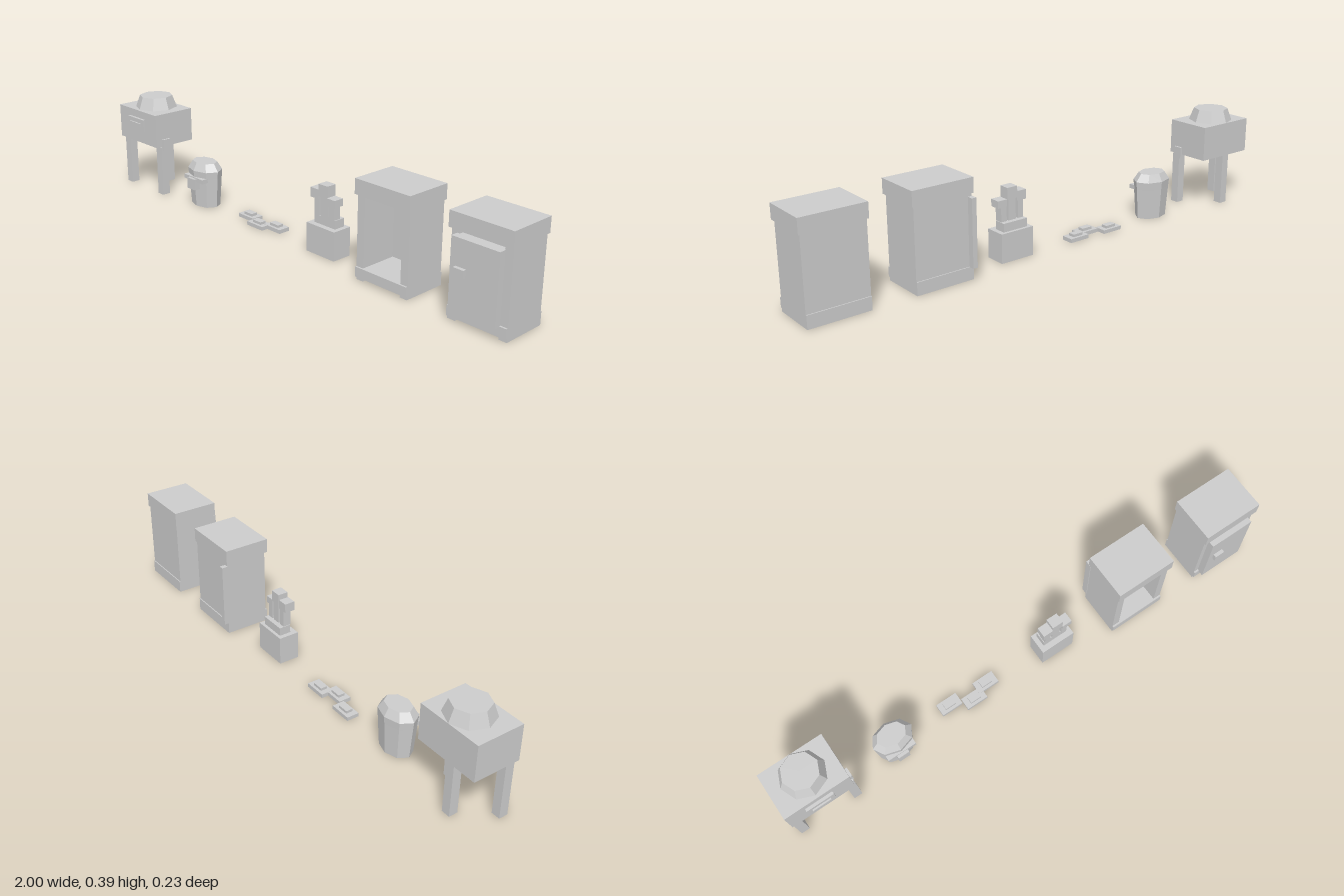
import * as THREE from 'three';

const grey = new THREE.MeshStandardMaterial({ color: 0xcccccc, flatShading: true });
grey.name = 'plain grey';

// Box given by its limits on each axis
function box(parent, name, x0, x1, y0, y1, z0, z1) {
  const m = new THREE.Mesh(new THREE.BoxGeometry(x1 - x0, y1 - y0, z1 - z0), grey);
  m.name = name;
  m.position.set((x0 + x1) / 2, (y0 + y1) / 2, (z0 + z1) / 2);
  parent.add(m);
  return m;
}

function section(root, name) {
  const g = new THREE.Group();
  g.name = name;
  root.add(g);
  return g;
}

// Box on three legs with an octagonal lid
function legBox(root) {
  const g = section(root, 'leggedBox');
  box(g, 'case', -1, -0.75, 0.205, 0.34, -0.097, 0.083);
  [[-1, 0.03], [-0.778, 0.03], [-0.906, -0.09]].forEach(([x, z]) =>
    box(g, 'leg', x, x + 0.033, 0, 0.205, z, z + 0.034));
  const lid = new THREE.Mesh(new THREE.CylinderGeometry(0.067, 0.085, 0.048, 8), grey);
  lid.name = 'lid';
  lid.position.set(-0.873, 0.364, -0.0125);
  g.add(lid);
  box(g, 'frontPlate', -0.928, -0.822, 0.257, 0.309, 0.083, 0.094);
  box(g, 'plateBar', -0.91, -0.838, 0.276, 0.292, 0.094, 0.1);
  box(g, 'sideCatch', -0.75, -0.741, 0.19, 0.235, 0.02, 0.055);
}

// Faceted oval barrel with a front band and latch
function barrel(root) {
  const g = section(root, 'barrel');
  const profile = [[0, 0], [0.068, 0], [0.078, 0.12], [0.081, 0.15], [0.058, 0.18], [0, 0.18]]
    .map(([r, y]) => new THREE.Vector2(r, y));
  const body = new THREE.Mesh(new THREE.LatheGeometry(profile, 8), grey);
  body.name = 'barrelBody';
  body.scale.z = 0.72;
  body.position.set(-0.55, 0, -0.008);
  g.add(body);
  box(g, 'band', -0.607, -0.492, 0.108, 0.125, 0.02, 0.053);
  box(g, 'latch', -0.573, -0.528, 0.077, 0.121, 0.03, 0.065);
}

// Three low slabs with raised centres
function slabs(root) {
  const g = section(root, 'slabs');
  [[-0.301, -0.032], [-0.211, 0.001], [-0.142, -0.026]].forEach(([x, z], i) => {
    const y = i * 0.0005;
    box(g, 'slab', x - 0.043, x + 0.043, 0, 0.014 + y, z - 0.024, z + 0.024);
    box(g, 'slabTop', x - 0.022, x + 0.022, 0.014 + y, 0.024 + y, z - 0.013, z + 0.013);
  });
}

// Pedestal with three capped posts
function pedestal(root) {
  const g = section(root, 'pedestal');
  box(g, 'base', 0.082, 0.221, 0, 0.11, -0.05, 0.03);
  box(g, 'plinth', 0.1, 0.203, 0.11, 0.142, -0.038, 0.008);
  box(g, 'leftPost', 0.103, 0.126, 0.142, 0.21, -0.02, 0.012);
  box(g, 'middlePost', 0.136, 0.168, 0.142, 0.225, -0.02, 0.01);
  box(g, 'rightPost', 0.176, 0.2, 0.142, 0.2, -0.02, 0.012);
  box(g, 'leftCap', 0.09, 0.13, 0.207, 0.243, -0.02, 0.02);
  box(g, 'middleCap', 0.13, 0.174, 0.22, 0.264, -0.022, 0.018);
  box(g, 'rightCap', 0.174, 0.213, 0.195, 0.222, -0.02, 0.02);
}

// Cabinet shell shared by the open and the closed one
function cabinet(root, name, x) {
  const g = section(root, name);
  const w = 0.113, t = 0.03;
  box(g, 'top', x - 0.119, x + 0.119, 0.307, 0.362, -0.096, 0.085);
  [-1, 1].forEach(s => {
    const a = x + s * w, b = x + s * (w - t);
    box(g, 'side', Math.min(a, b), Math.max(a, b), 0, 0.307, -0.088, 0.075);
  });
  box(g, 'back', x - w, x + w, 0.012, 0.307, -0.092, -0.072);
  box(g, 'floor', x - w + t, x + w - t, 0.012, 0.048, -0.072, 0.075);
  box(g, 'frontRail', x - w, x + w, 0.012, 0.048, 0.075, 0.082);
  box(g, 'backRail', x - w, x + w, 0, 0.048, -0.096, -0.088);
  return g;
}

export function createModel() {
  const root = new THREE.Group();
  root.name = 'furnitureSet';
  legBox(root);
  barrel(root);
  slabs(root);
  pedestal(root);

  const open = cabinet(root, 'openCabinet', 0.488);
  box(open, 'backPost', 0.372, 0.39, 0.047, 0.296, -0.115, -0.09);

  const closed = cabinet(root, 'closedCabinet', 0.881);
  box(closed, 'door', 0.788, 0.967, 0.042, 0.292, 0.06, 0.102);
  box(closed, 'knob', 0.81, 0.85, 0.17, 0.199, 0.102, 0.116);
  return root;
}
